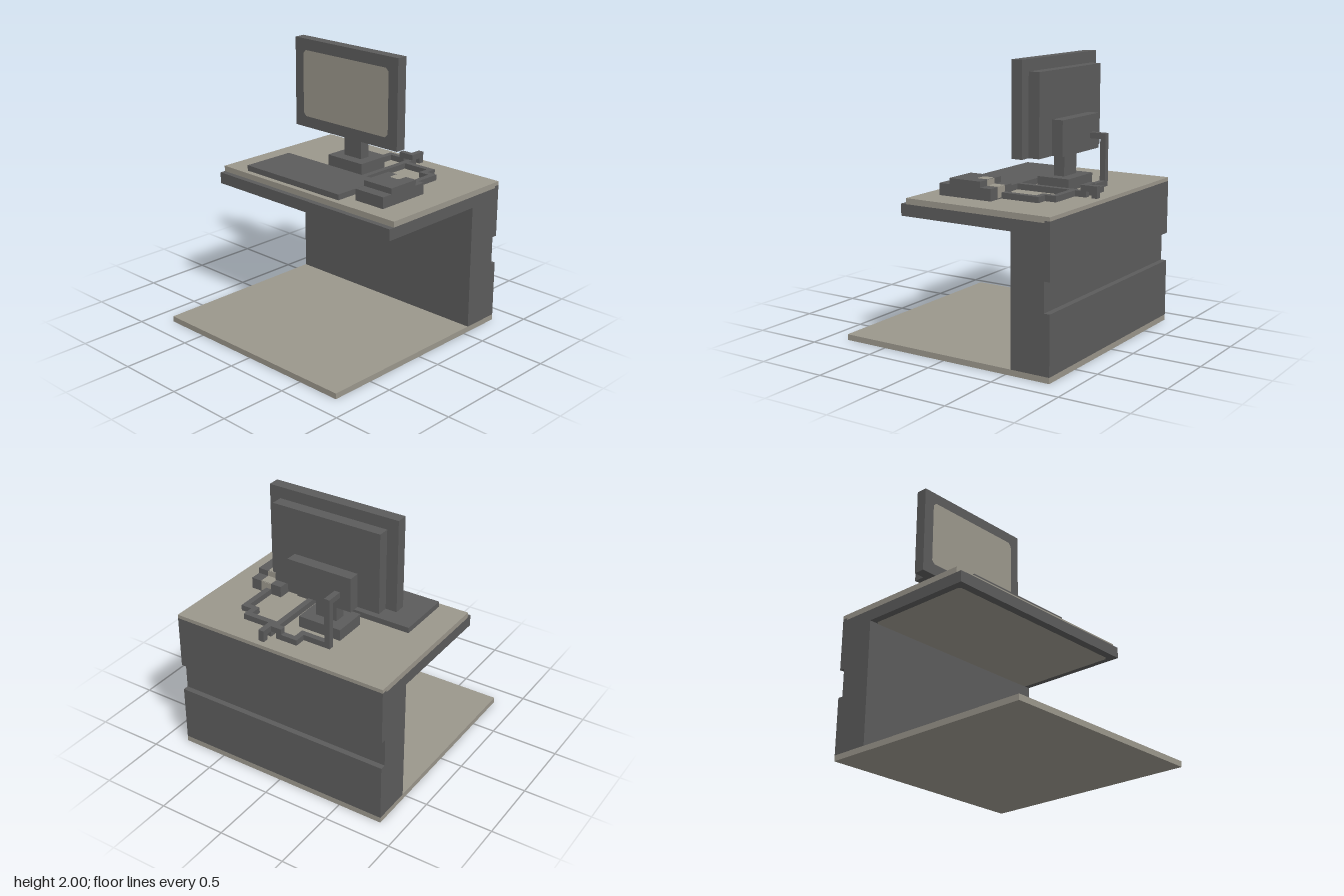
import * as THREE from 'three';

const U = 1 / 24; // one block of the design grid

function material(name, color) {
  const m = new THREE.MeshStandardMaterial({ color });
  m.name = name;
  return m;
}

export function createModel() {
  const grey = material('dark grey', 0x5c5c5c);
  const beige = material('warm beige', 0x9b978c);
  const model = new THREE.Group();
  model.name = 'computerDesk';

  // grid coordinates: x and z run 0..40 across the floor, y runs 0..48
  const X = (v) => (v - 20) * U;

  function box(parent, name, mat, [x0, x1], [y0, y1], [z0, z1]) {
    const geo = new THREE.BoxGeometry((x1 - x0) * U, (y1 - y0) * U, (z1 - z0) * U);
    const mesh = new THREE.Mesh(geo, mat);
    mesh.position.set(X((x0 + x1) / 2), ((y0 + y1) / 2) * U, X((z0 + z1) / 2));
    mesh.name = name;
    parent.add(mesh);
    return mesh;
  }

  function group(name) {
    const g = new THREE.Group();
    g.name = name;
    model.add(g);
    return g;
  }

  // flat rectangle with clipped corners, centred on the origin, facing +z
  function clippedPanel(w, h, c) {
    const a = (w * U) / 2, b = (h * U) / 2, k = c * U;
    return new THREE.ShapeGeometry(new THREE.Shape([
      [-a + k, -b], [a - k, -b], [a, -b + k], [a, b - k],
      [a - k, b], [-a + k, b], [-a, b - k], [-a, -b + k],
    ].map(([x, y]) => new THREE.Vector2(x, y))));
  }

  const full = [0, 40];

  // desk: floor plate, grooved back wall, cantilevered top
  const desk = group('desk');
  box(desk, 'floorPlate', beige, full, [0, 1], full);
  box(desk, 'wallCore', grey, [33, 39], [1, 25], full);
  box(desk, 'wallLowerPanel', grey, [39, 40], [1, 11], full);
  box(desk, 'wallUpperPanel', grey, [39, 40], [16, 25.35], full);
  box(desk, 'topFrame', grey, [12, 33], [23, 25], full);
  box(desk, 'desktop', beige, [13, 39], [25, 26], full);
  box(desk, 'desktopBackEdge', beige, [39, 40], [25.35, 26], full);
  const under = new THREE.Mesh(clippedPanel(19.6, 37.6, 0.5).rotateX(Math.PI / 2), beige);
  under.position.set(X(23.2), 23 * U - 0.003, 0);
  under.name = 'undersidePanel';
  desk.add(under);

  // monitor, its screen facing -x
  const monitor = group('monitor');
  box(monitor, 'bezel', grey, [26, 28], [32, 48], [5, 29]);
  box(monitor, 'backShell', grey, [28, 30], [32, 46], [7, 27]);
  box(monitor, 'connectorHousing', grey, [30, 32], [32, 38], [11, 23]);
  box(monitor, 'stem', grey, [28, 30], [28, 32], [15, 19]);
  box(monitor, 'foot', grey, [26, 32], [26, 28], [13, 21]);
  const screen = new THREE.Mesh(clippedPanel(20, 12, 0.6).rotateY(-Math.PI / 2), beige);
  screen.position.set(X(26) - 0.003, 40 * U, X(17));
  screen.name = 'screen';
  monitor.add(screen);

  box(model, 'keyboard', grey, [14, 24], [26, 27], [5, 27]);

  // mouse with a stripe running over its steps
  const mouse = group('mouse');
  box(mouse, 'mouseBody', grey, [16, 26], [26, 28], [29, 35]);
  box(mouse, 'mouseHump', grey, [18, 24], [28, 29], [29, 35]);
  const t = 0.08, stripe = [31, 33];
  const patch = new THREE.Mesh(clippedPanel(2, 2, 0.3).rotateX(-Math.PI / 2), beige);
  patch.position.set(X(23), 29 * U + 0.003, X(32));
  patch.name = 'stripeTop';
  mouse.add(patch);
  box(mouse, 'stripeRiser', beige, [24, 24 + t], [28, 29], stripe);
  box(mouse, 'stripeLedge', beige, [24, 26], [28, 28 + t], stripe);
  box(mouse, 'stripeEnd', beige, [26, 26 + t], [26.2, 28], stripe);

  // cables made of straight runs
  const flat = [26, 27], raised = [27, 28];
  const cables = {
    monitorCable: [
      [[32, 35], [34, 35], [13, 14]],
      [[34, 35], [26, 34], [13, 14]],
      [[34, 35], flat, [14, 19]],
      [[35, 37], flat, [18, 19]],
      [[36, 37], flat, [19, 22]],
      [[36, 37], raised, [21, 23]],
    ],
    keyboardCable: [
      [[24, 37], flat, [23, 24]],
      [[36, 39], raised, [23, 24]],
      [[38, 39], flat, [23, 24]],
    ],
    mouseCable: [
      [[26, 33], flat, [31, 32]],
      [[32, 33], flat, [29, 31]],
      [[33, 35], flat, [29, 30]],
      [[34, 35], flat, [24, 29]],
    ],
  };
  for (const [name, runs] of Object.entries(cables)) {
    const g = group(name);
    runs.forEach((r, i) => box(g, `${name}Run${i + 1}`, grey, ...r));
  }

  return model;
}
